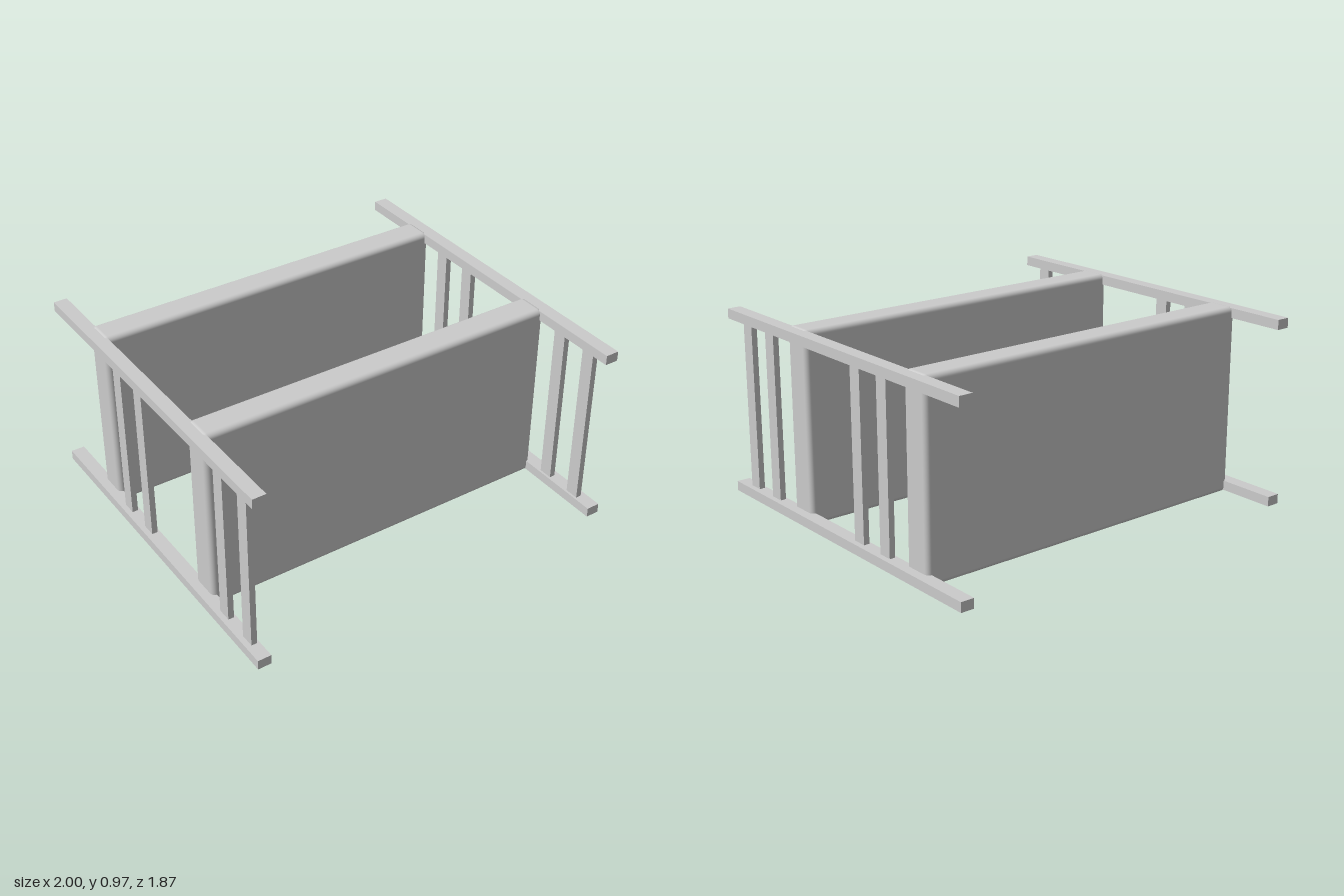
import * as THREE from 'three';
import { RoundedBoxGeometry } from 'three/addons/geometries/RoundedBoxGeometry.js';

export function createModel() {
  const model = new THREE.Group();
  const material = new THREE.MeshStandardMaterial({ color: 0xcccccc });

  function add(name, geometry, x, y, z) {
    const mesh = new THREE.Mesh(geometry, material);
    mesh.name = name;
    mesh.position.set(x, y, z);
    model.add(mesh);
  }

  // Two thick upright panels with softened edges
  const panel = new RoundedBoxGeometry(1.905, 0.972, 0.156, 5, 0.026);
  add('frontPanel', panel, 0, 0.486, 0.38);
  add('backPanel', panel, 0, 0.486, -0.557);

  // Side frames: long rails joined by pairs of slats
  const rail = new THREE.BoxGeometry(0.07, 0.05, 1.87);
  const slat = new THREE.BoxGeometry(0.03, 0.87, 0.073);
  for (const [side, s] of [['left', 1], ['right', -1]]) {
    add(side + 'BottomRail', rail, s * 0.965, 0.035, 0);
    add(side + 'TopRail', rail, s * 0.965, 0.943, 0);
    [0.798, 0.596, -0.134, -0.339].forEach((z, i) =>
      add(side + 'Slat' + (i + 1), slat, s * 0.957, 0.489, z));
  }
  return model;
}
